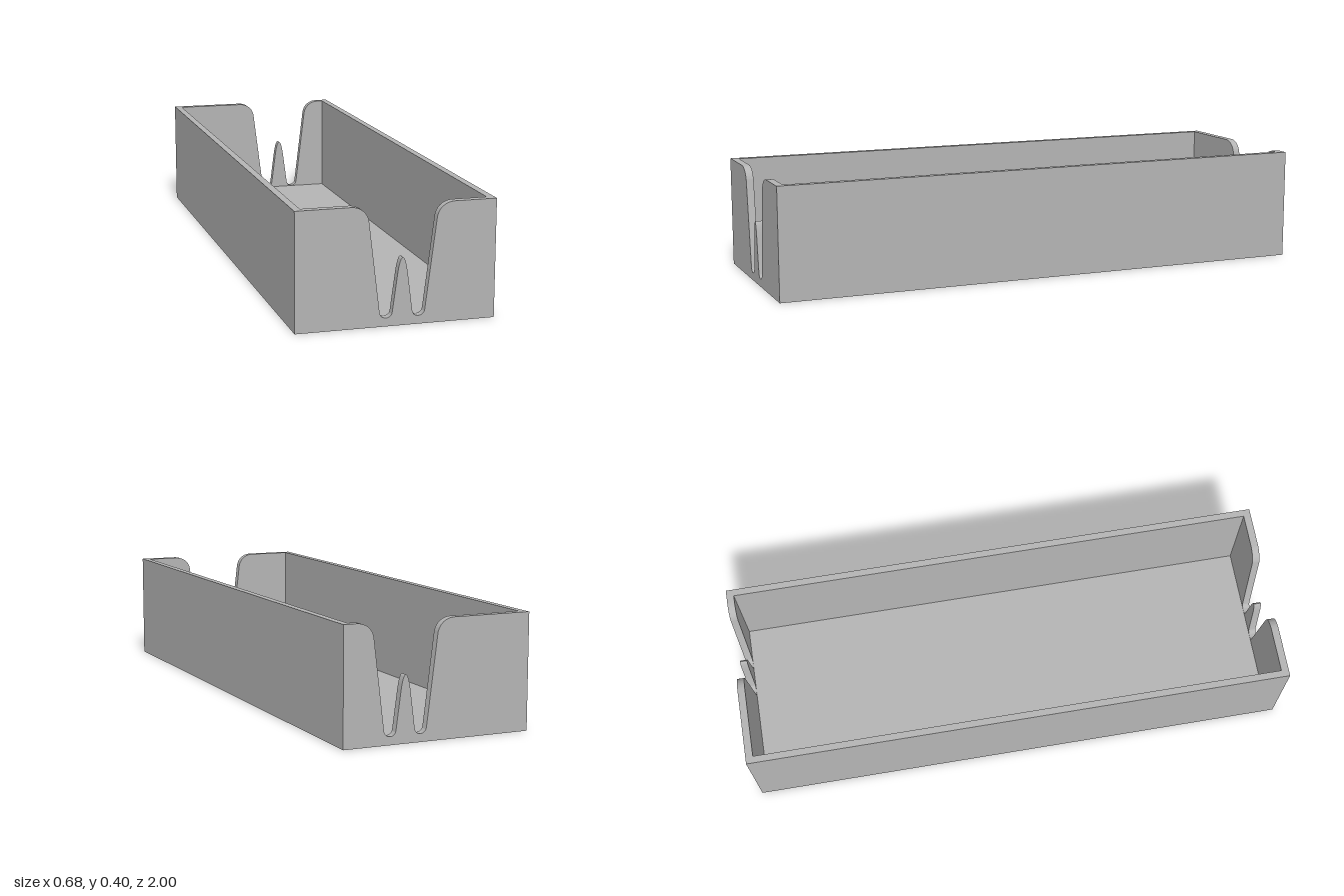
import * as THREE from 'three';
import { toCreasedNormals } from 'three/addons/utils/BufferGeometryUtils.js';

const W = 0.34, H = 0.403, L = 1;          // half width, height, half length
const WALL = 0.025, END = 0.027, FLOOR = 0.027;

// End wall outline with a W-shaped notch centred on x = c
function endWallShape(c) {
  const s = new THREE.Shape();
  s.moveTo(-W, 0);
  s.lineTo(W, 0);
  s.lineTo(W, H);
  // right shoulder and right slot
  s.lineTo(c + 0.175, H);
  s.bezierCurveTo(c + 0.144, H, c + 0.119, 0.382, c + 0.115, 0.353);
  s.lineTo(c + 0.077, 0.047);
  s.bezierCurveTo(c + 0.073, 0.022, c + 0.037, 0.022, c + 0.034, 0.047);
  // rounded tongue in the middle
  s.lineTo(c + 0.018, 0.168);
  s.bezierCurveTo(c + 0.008, 0.247, c - 0.008, 0.247, c - 0.018, 0.168);
  // left slot and left shoulder
  s.lineTo(c - 0.034, 0.047);
  s.bezierCurveTo(c - 0.037, 0.022, c - 0.073, 0.022, c - 0.077, 0.047);
  s.lineTo(c - 0.115, 0.353);
  s.bezierCurveTo(c - 0.119, 0.382, c - 0.144, H, c - 0.175, H);
  s.lineTo(-W, H);
  s.closePath();
  return s;
}

export function createModel() {
  const model = new THREE.Group();
  model.name = 'tray';
  const grey = new THREE.MeshStandardMaterial({ color: 0xb4b4b4 });
  grey.name = 'grey';

  const add = (name, geometry, x, y, z) => {
    const mesh = new THREE.Mesh(geometry, grey);
    mesh.name = name;
    mesh.position.set(x, y, z);
    model.add(mesh);
  };

  // Floor and long side walls, fitted between the end walls
  const innerLength = 2 * (L - END);
  add('floor', new THREE.BoxGeometry(2 * (W - WALL), FLOOR, innerLength), 0, FLOOR / 2, 0);
  for (const [name, side] of [['leftWall', 1], ['rightWall', -1]]) {
    add(name, new THREE.BoxGeometry(WALL, H, innerLength), side * (W - WALL / 2), H / 2, 0);
  }

  // Notched end walls; the notches are offset from each other
  for (const [name, centre, z] of [['frontWall', 0.021, L - END], ['backWall', 0.118, -L]]) {
    const geometry = new THREE.ExtrudeGeometry(endWallShape(centre), {
      depth: END, bevelEnabled: false, curveSegments: 16,
    });
    add(name, toCreasedNormals(geometry, 0.6), 0, 0, z);
  }
  return model;
}
